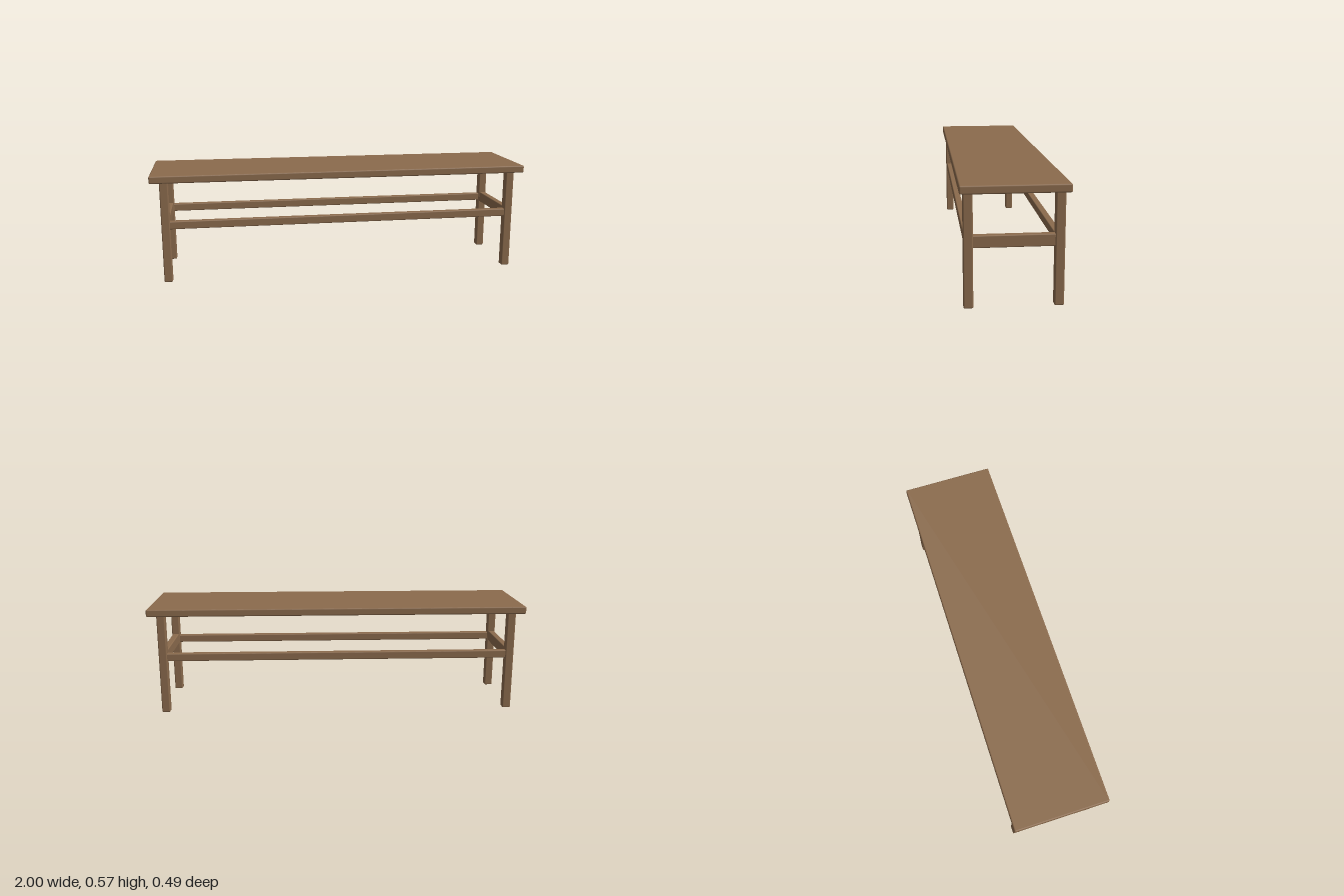
import * as THREE from 'three';
import { RoundedBoxGeometry } from 'three/addons/geometries/RoundedBoxGeometry.js';

export function createModel() {
  const bench = new THREE.Group();
  bench.name = 'bench';
  const wood = new THREE.MeshStandardMaterial({ color: 0x8b6b4d });
  wood.name = 'brown wood';

  // Softly rounded wooden board, placed by its centre
  function board(name, [w, h, d], [x, y, z], radius) {
    const mesh = new THREE.Mesh(new RoundedBoxGeometry(w, h, d, 3, radius), wood);
    mesh.name = name;
    mesh.position.set(x, y, z);
    bench.add(mesh);
  }

  const legX = 0.929, legZ = 0.205, leg = 0.044;

  // Seat slab
  board('seat', [2, 0.039, 0.49], [0, 0.55, 0], 0.007);

  for (const sx of [1, -1]) {
    const side = sx > 0 ? 'left' : 'right';
    // Legs, tucked slightly into the seat
    for (const sz of [1, -1]) {
      board(`${side}${sz > 0 ? 'Front' : 'Back'}Leg`, [leg, 0.537, leg], [sx * legX, 0.2685, sz * legZ], 0.006);
    }
    // Short rail between front and back legs
    board(`${side}SideRail`, [0.034, 0.057, 2 * legZ - 0.02], [sx * legX, 0.306, 0], 0.005);
  }

  // Long rails between the left and right legs
  for (const sz of [1, -1]) {
    board(sz > 0 ? 'frontRail' : 'backRail', [2 * legX - 0.02, 0.041, 0.034], [0, 0.305, sz * legZ], 0.005);
  }

  return bench;
}
